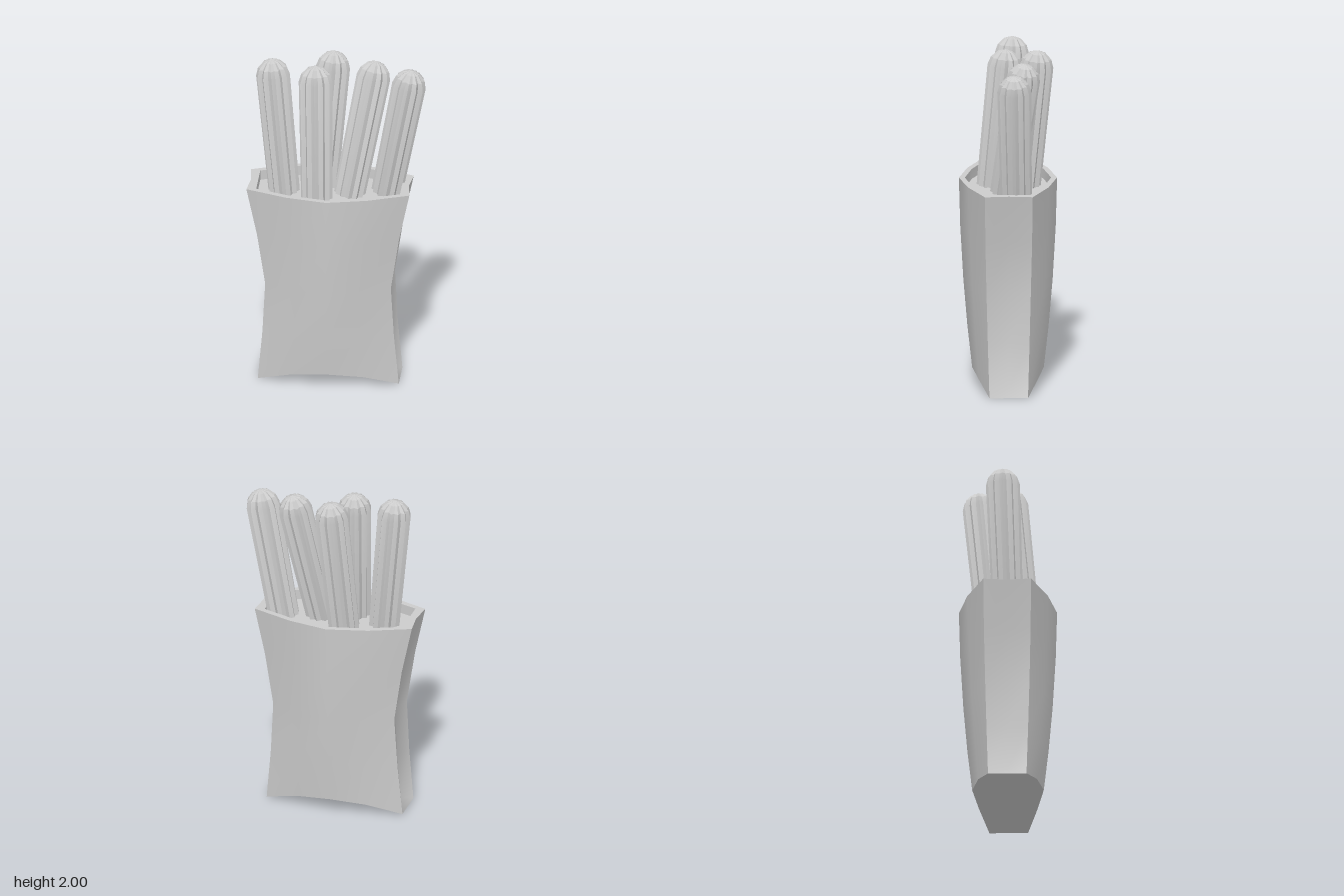
import * as THREE from 'three';
import { toCreasedNormals } from 'three/addons/utils/BufferGeometryUtils.js';

const material = new THREE.MeshStandardMaterial({ color: 0xcccccc });
const V = (x, y, z) => new THREE.Vector3(x, y, z);

// Skin closed rings, each running counter-clockwise seen from above; extra holds added triangles
function loft(rings, crease, extra = []) {
  const n = rings[0].length;
  const index = [...extra];
  for (let r = 0; r < rings.length - 1; r++) {
    for (let i = 0; i < n; i++) {
      const j = (i + 1) % n;
      const a = r * n + i, b = r * n + j, c = b + n, d = a + n;
      index.push(a, b, c, a, c, d);
    }
  }
  const geometry = new THREE.BufferGeometry().setFromPoints(rings.flat());
  geometry.setIndex(index);
  return toCreasedNormals(geometry, crease);
}

// Twelve-point pouch outline: bowed front and back, sides folded inward.
// w half width, zc / zq / zm depth at corner, quarter and middle, lift raises the arched hem
function outline(y, w, zc, zq, zm, fold, lift = 0) {
  const back = [[w, zc, 0], [w / 2, zq, 0.06], [0, zm, 0.085], [-w / 2, zq, 0.06], [-w, zc, 0]];
  const side = (s) => V(s * (w - fold) - 0.045, y + 0.05 * lift, 0);
  const edge = (s) => back.map(([x, z, h]) => V(s * x - 0.045, y + h * lift, -s * z));
  return [side(1), ...edge(1), side(-1), ...edge(-1)];
}

function makePouch() {
  const rings = [
    outline(0, 0.415, 0.113, 0.172, 0.21, 0.05, 1),
    outline(0.31, 0.387, 0.122, 0.193, 0.238, 0.04, 0.3),
    outline(0.62, 0.37, 0.13, 0.212, 0.262, 0.033),
    outline(0.94, 0.418, 0.137, 0.227, 0.28, 0.022),
    outline(1.23, 0.48, 0.14, 0.236, 0.288, 0.015),
    outline(1.23, 0.423, 0.127, 0.21, 0.253, 0),
    outline(1.17, 0.423, 0.127, 0.21, 0.253, 0),
    outline(1.17, 0, 0, 0, 0, 0),
  ];
  // Arched underside, spanned from back hem to front hem
  const under = [0, 11, 1, 5, 7, 6];
  for (let i = 1; i < 5; i++) under.push(i, 12 - i, 11 - i, i, 11 - i, i + 1);
  const mesh = new THREE.Mesh(loft(rings, 0.85, under), material);
  mesh.name = 'pouch';
  return mesh;
}

// Fluted stick with a domed tip, leaning from its base to its tip
function makeStick(base, tip, name) {
  const ridges = 12;
  const length = base.distanceTo(tip);
  const profile = [
    [0, 0], [0.092, 0], [0.1, length - 0.1],
    [0.085, length - 0.052], [0.05, length - 0.016], [0, length],
  ];
  const rings = profile.map(([r, y]) => Array.from({ length: ridges * 2 }, (_, i) => {
    const a = (i * Math.PI) / ridges;
    const radius = i % 2 ? r * 0.82 : r;
    return V(radius * Math.cos(a), y, -radius * Math.sin(a));
  }));
  const mesh = new THREE.Mesh(loft(rings, 0.3), material);
  mesh.position.copy(base);
  mesh.quaternion.setFromUnitVectors(V(0, 1, 0), tip.clone().sub(base).normalize());
  mesh.name = name;
  return mesh;
}

export function createModel() {
  const group = new THREE.Group();
  group.name = 'pouchOfFlutedSticks';
  group.add(makePouch());
  const sticks = [
    [V(-0.315, 1.165, 0), V(-0.393, 2, -0.03)],
    [V(-0.115, 1.165, 0.092), V(-0.13, 1.985, 0.01)],
    [V(-0.1, 1.165, -0.1), V(-0.035, 2, -0.175)],
    [V(0.07, 1.165, 0.015), V(0.22, 1.98, -0.1)],
    [V(0.285, 1.165, -0.045), V(0.435, 1.96, -0.03)],
  ];
  sticks.forEach(([base, tip], i) => group.add(makeStick(base, tip, `stick${i + 1}`)));
  return group;
}
